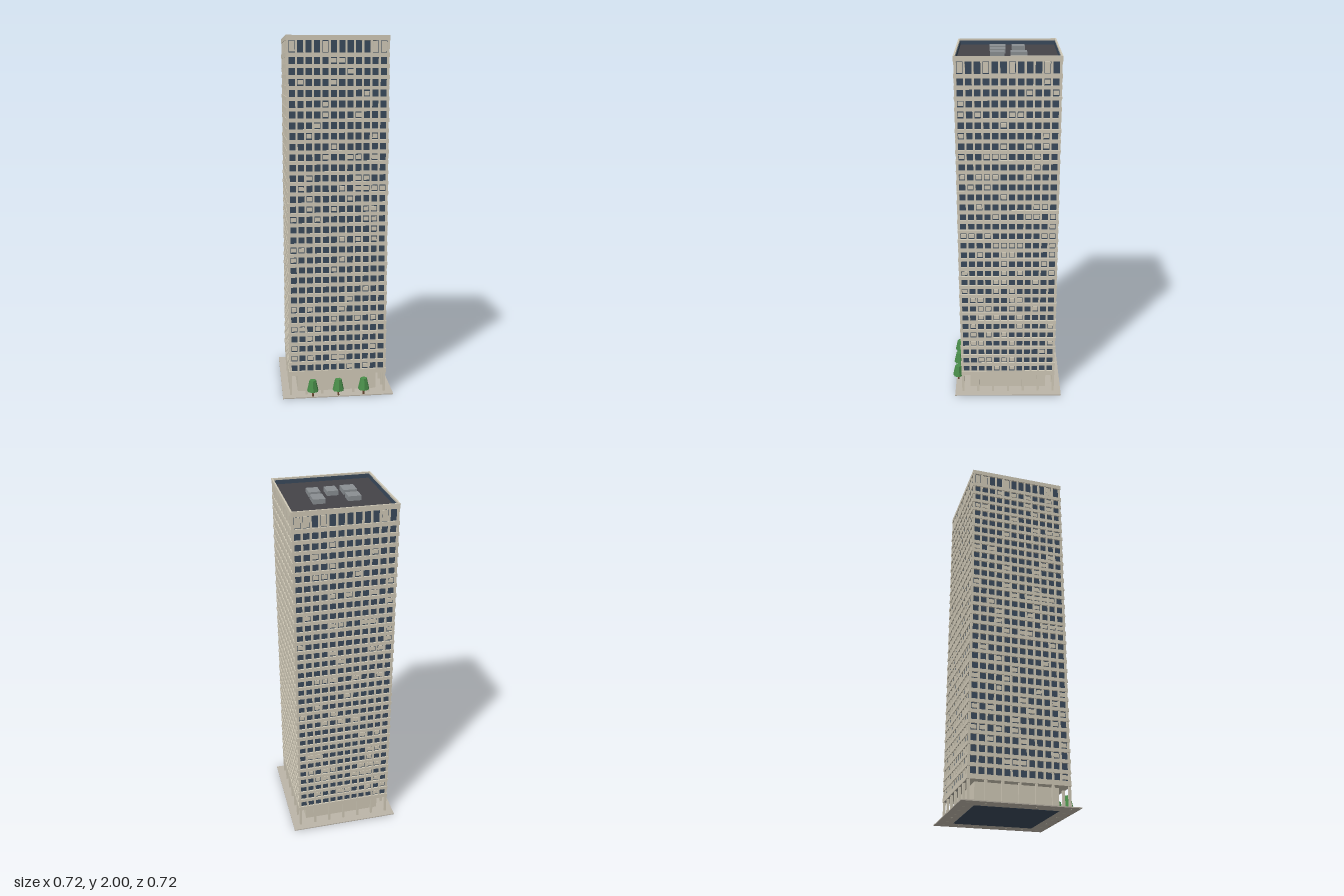
import * as THREE from 'three';
import { mergeGeometries } from 'three/addons/utils/BufferGeometryUtils.js';

const mat = (color) => new THREE.MeshStandardMaterial({ color, flatShading: true });
const concrete = mat(0xcfc8b6), paving = mat(0xbcb5a8), glass = mat(0x3a4a5c);
const roofing = mat(0x444348), metal = mat(0x8a8f92), leaf = mat(0x4a8f4a), bark = mat(0x6b4a30);

const HALF = 0.2675;   // glass line
const OUT = 0.2765;    // outer face of the floor bands
const BAYS = 12, BAY = 0.0445;
const FLOORS = 31, STEP = 0.0568, FIRST = 0.165, WIN = 0.037;
const LOBBY = 0.12, ROOF = 1.968;

// Box centred at x, z and spanning y0..y1
function box(w, y0, y1, d, x = 0, z = 0) {
  return new THREE.BoxGeometry(w, y1 - y0, d).translate(x, (y0 + y1) / 2, z);
}

function add(group, name, geometries, material) {
  const mesh = new THREE.Mesh(Array.isArray(geometries) ? mergeGeometries(geometries) : geometries, material);
  mesh.name = name;
  group.add(mesh);
  return mesh;
}

function seeded(seed) {
  return () => (seed = (seed * 16807) % 2147483647) / 2147483647;
}

// One side of the tower, facing +z
function facade(index) {
  const side = new THREE.Group();
  side.name = 'facade' + index;
  const rand = seeded(7919 * (index + 3));
  for (let i = 0; i < 20; i++) rand();

  add(side, 'glassWall', box(HALF * 2, LOBBY, 1.99, 0.003, 0, HALF - 0.0015), glass);

  // Horizontal bands between the window rows
  const bands = [];
  let bottom = LOBBY;
  const depth = OUT - HALF;
  for (let f = 0; f < FLOORS; f++) {
    const y = FIRST + f * STEP;
    bands.push(box(OUT * 2, bottom, y - WIN / 2, depth, 0, HALF + depth / 2));
    bottom = y + WIN / 2;
  }
  bands.push(box(OUT * 2, bottom, 1.91, depth, 0, HALF + depth / 2));
  bands.push(box(OUT * 2, 1.974, 2, depth, 0, HALF + depth / 2));
  add(side, 'floorBands', bands, concrete);

  // Vertical mullions, slightly behind the bands
  const mullions = [];
  for (let i = 0; i <= BAYS; i++) {
    mullions.push(box(0.011, LOBBY, 1.99, 0.007, (i - BAYS / 2) * BAY, HALF + 0.0035));
  }
  add(side, 'mullions', mullions, concrete);

  // Scattered blinds behind the windows, tall ones on the top floor
  const blinds = [];
  for (let f = 0; f <= FLOORS; f++) {
    for (let b = 0; b < BAYS; b++) {
      const chance = f === FLOORS ? 0.33 : 0.19;
      if (rand() > chance) continue;
      const x = (b + 0.5 - BAYS / 2) * BAY;
      const y = FIRST + f * STEP;
      blinds.push(f === FLOORS
        ? box(0.028, 1.914, 1.97, 0.004, x, HALF + 0.002)
        : box(0.028, y - 0.011, y + 0.012, 0.004, x, HALF + 0.002));
    }
  }
  add(side, 'blinds', blinds, concrete);

  // Ground floor columns under every second mullion
  const columns = [];
  for (let i = 0; i < 6; i++) {
    columns.push(box(0.013, 0, LOBBY, 0.013, (i - 3) * BAY * 2, HALF));
  }
  add(side, 'columns', columns, concrete);

  side.rotation.y = index * Math.PI / 2;
  return side;
}

function tree(x, z) {
  const group = new THREE.Group();
  group.name = 'tree';
  add(group, 'trunk', new THREE.CylinderGeometry(0.005, 0.006, 0.045, 6).translate(0, 0.0225, 0), bark);
  add(group, 'foliage', new THREE.CylinderGeometry(0.019, 0.033, 0.064, 7).translate(0, 0.07, 0), leaf);
  group.position.set(x, 0, z);
  return group;
}

export function createModel() {
  const model = new THREE.Group();
  const site = new THREE.Group();
  site.name = 'site';
  site.rotation.y = THREE.MathUtils.degToRad(9);
  model.add(site);

  // Plaza, with the core's footing showing underneath
  add(site, 'plaza', box(0.628, 0.0004, 0.006, 0.628), paving);
  add(site, 'coreFooting', box(0.45, 0, 0.005, 0.45), glass);

  // Recessed lobby and the slab over it
  add(site, 'lobby', box(0.45, 0.005, LOBBY, 0.45), concrete);
  add(site, 'lobbyCeiling', box(HALF * 2, LOBBY, LOBBY + 0.01, HALF * 2), concrete);

  for (let i = 0; i < 4; i++) site.add(facade(i));

  // Roof deck sunk behind the parapet
  add(site, 'roof', box(0.531, ROOF - 0.01, ROOF, 0.531), roofing);

  // Rooftop plant units: x, z, width, depth
  const units = [
    [-0.092, -0.058, 0.07, 0.07],
    [0.095, -0.058, 0.064, 0.086],
    [-0.095, 0.054, 0.073, 0.087],
    [-0.001, 0.053, 0.06, 0.083],
    [0.094, 0.055, 0.062, 0.077],
  ];
  for (const [x, z, w, d] of units) {
    add(site, 'roofUnit', box(w, ROOF, ROOF + 0.025, d, x, z), metal);
  }

  // Row of trees along the front
  for (const x of [-0.145, 0, 0.145]) site.add(tree(x, 0.302));

  return model;
}
